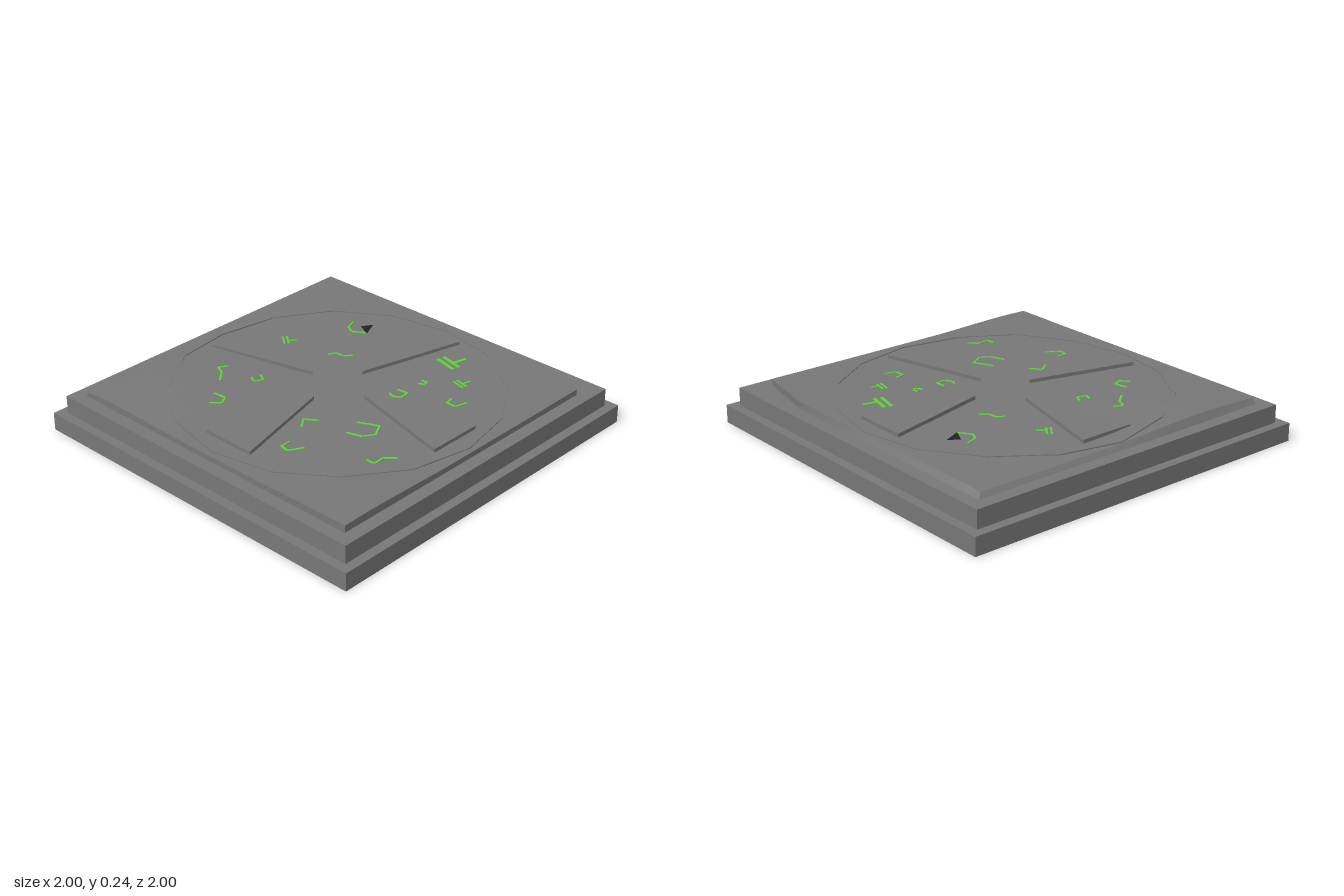
import * as THREE from 'three';

const stone = new THREE.MeshStandardMaterial({ color: 0x777777, flatShading: true });
const green = new THREE.MeshStandardMaterial({ color: 0x5fd03a });
const dark = new THREE.MeshStandardMaterial({ color: 0x222222 });

// Height of the worn slab surface
function surface(x, z) {
  const mound = (cx, cz, r, h) => h * Math.max(0, 1 - Math.hypot(x - cx, z - cz) / r);
  return 0.219 + mound(-0.67, 0.48, 0.55, 0.026) + mound(0.8, 0.72, 0.5, 0.013)
    + mound(0.5, -0.75, 0.5, 0.01) + mound(-0.5, -0.6, 0.4, 0.006)
    - (x < -0.8 ? (-0.8 - x) * 0.12 : 0);
}

export function createModel() {
  const model = new THREE.Group();
  const add = (name, geometry, material = stone, parent = model) => {
    const mesh = new THREE.Mesh(geometry, material);
    mesh.name = name;
    parent.add(mesh);
    return mesh;
  };

  // Two square steps
  add('lowerStep', new THREE.BoxGeometry(2, 0.095, 2)).position.y = 0.0475;
  add('upperStep', new THREE.BoxGeometry(1.9, 0.095, 1.9)).position.y = 0.1425;

  // Worn slab: uneven top, left and back edges sloped, back right corner chipped
  const slab = new THREE.BoxGeometry(1.76, 0.04, 1.76, 16, 1, 16);
  const p = slab.attributes.position;
  for (let i = 0; i < p.count; i++) {
    let x = p.getX(i), z = p.getZ(i), y = 0.19;
    const top = p.getY(i) > 0;
    if (x > 0.5) z = Math.max(z, -0.88 + (x - 0.5) * 0.21);
    if (top) {
      if (x < -0.87) x = -0.857;
      if (z < -0.85 && x < 0.5) z = -0.855 - 0.02 * (x + 0.86) / 1.36;
      y = surface(x, z);
    }
    p.setXYZ(i, x, y, z);
  }
  slab.computeVertexNormals();
  add('wornSlab', slab);

  // Sixteen-sided rim laid on the slab
  const polygon = (r) => Array.from({ length: 16 }, (_, i) => {
    const a = i * Math.PI / 8;
    return new THREE.Vector2(Math.cos(a) * r, Math.sin(a) * r);
  });
  const rimShape = new THREE.Shape(polygon(0.853));
  rimShape.holes.push(new THREE.Path(polygon(0.833)));
  const rim = new THREE.ExtrudeGeometry(rimShape, { depth: 0.015, bevelEnabled: false });
  rim.rotateX(-Math.PI / 2);
  const q = rim.attributes.position;
  for (let i = 0; i < q.count; i++) {
    q.setY(i, q.getY(i) - 0.011 + surface(q.getX(i), q.getZ(i)));
  }
  rim.computeVertexNormals();
  add('rim', rim).position.z = -0.003;

  // Four raised wedges pointing to the centre
  const wedgeShape = new THREE.Shape([
    new THREE.Vector2(0.175, 0), new THREE.Vector2(0.757, -0.15), new THREE.Vector2(0.757, 0.15),
  ]);
  const wedge = new THREE.ExtrudeGeometry(wedgeShape, { depth: 0.038, bevelEnabled: false });
  wedge.rotateX(-Math.PI / 2);
  for (let i = 0; i < 4; i++) {
    const mesh = add('wedge', wedge);
    mesh.rotation.y = i * Math.PI / 2;
    mesh.position.set(0, 0.2, -0.01);
  }

  // Carved signs: each line is a chain of x, z points
  const marks = new THREE.Group();
  marks.name = 'signs';
  model.add(marks);
  const stroke = (line, width) => {
    for (let i = 0; i + 3 < line.length; i += 2) {
      const [x1, z1, x2, z2] = line.slice(i, i + 4);
      const x = (x1 + x2) / 2, z = (z1 + z2) / 2;
      const bar = add('signStroke',
        new THREE.BoxGeometry(Math.hypot(x2 - x1, z2 - z1), 0.01, width), green, marks);
      bar.position.set(x, surface(x, z) - 0.001, z);
      bar.rotation.y = -Math.atan2(z2 - z1, x2 - x1);
    }
  };
  const hooks = [
    [-0.42, -0.57, -0.4, -0.51, -0.35, -0.485, -0.29, -0.53],
    [0.26, -0.34, 0.295, -0.345, 0.3, -0.32, 0.27, -0.305],
    [0.49, -0.3, 0.5, -0.255, 0.555, -0.255, 0.57, -0.32],
    [0.235, -0.19, 0.295, -0.195, 0.3, -0.14, 0.26, -0.12, 0.23, -0.135],
    [-0.27, -0.22, -0.25, -0.26, -0.205, -0.26, -0.17, -0.3],
    [-0.36, 0.18, -0.315, 0.205, -0.33, 0.25, -0.37, 0.235],
    [-0.535, 0.24, -0.56, 0.285, -0.51, 0.305, -0.455, 0.37],
    [-0.385, 0.475, -0.31, 0.468, -0.29, 0.515, -0.335, 0.553],
    [0.16, 0.3, 0.1, 0.34, 0.145, 0.4],
    [0.305, 0.185, 0.41, 0.137, 0.45, 0.21, 0.417, 0.265, 0.337, 0.29],
    [0.668, 0.3, 0.62, 0.345, 0.625, 0.41, 0.578, 0.41],
    [0.29, 0.527, 0.25, 0.6, 0.2, 0.59, 0.2, 0.537],
  ];
  hooks.forEach((line) => stroke(line, 0.011));

  // Signs made of two bars and a stem
  const barSign = (x, z, size, angle) => {
    const c = Math.cos(angle) * size, s = Math.sin(angle) * size;
    const at = (u, v) => [x + u * c - v * s, z + u * s + v * c];
    stroke([...at(-0.5, 0), ...at(0.5, 0)], size * 0.13);
    stroke([...at(-0.5, 0.28), ...at(0.5, 0.28)], size * 0.13);
    stroke([...at(0.1, -0.6), ...at(0.1, 0)], size * 0.13);
  };
  barSign(0.25, -0.585, 0.135, 0.24);
  barSign(0.43, -0.45, 0.08, 0.22);
  barSign(-0.535, -0.19, 0.08, 0.65);

  // Dark chip in the slab
  const chip = new THREE.Shape([
    new THREE.Vector2(-0.325, 0.62), new THREE.Vector2(-0.36, 0.565), new THREE.Vector2(-0.283, 0.525),
  ]);
  const chipGeometry = new THREE.ExtrudeGeometry(chip, { depth: 0.012, bevelEnabled: false });
  chipGeometry.rotateX(-Math.PI / 2);
  add('darkChip', chipGeometry, dark).position.y = surface(-0.32, -0.57) - 0.01;

  return model;
}
